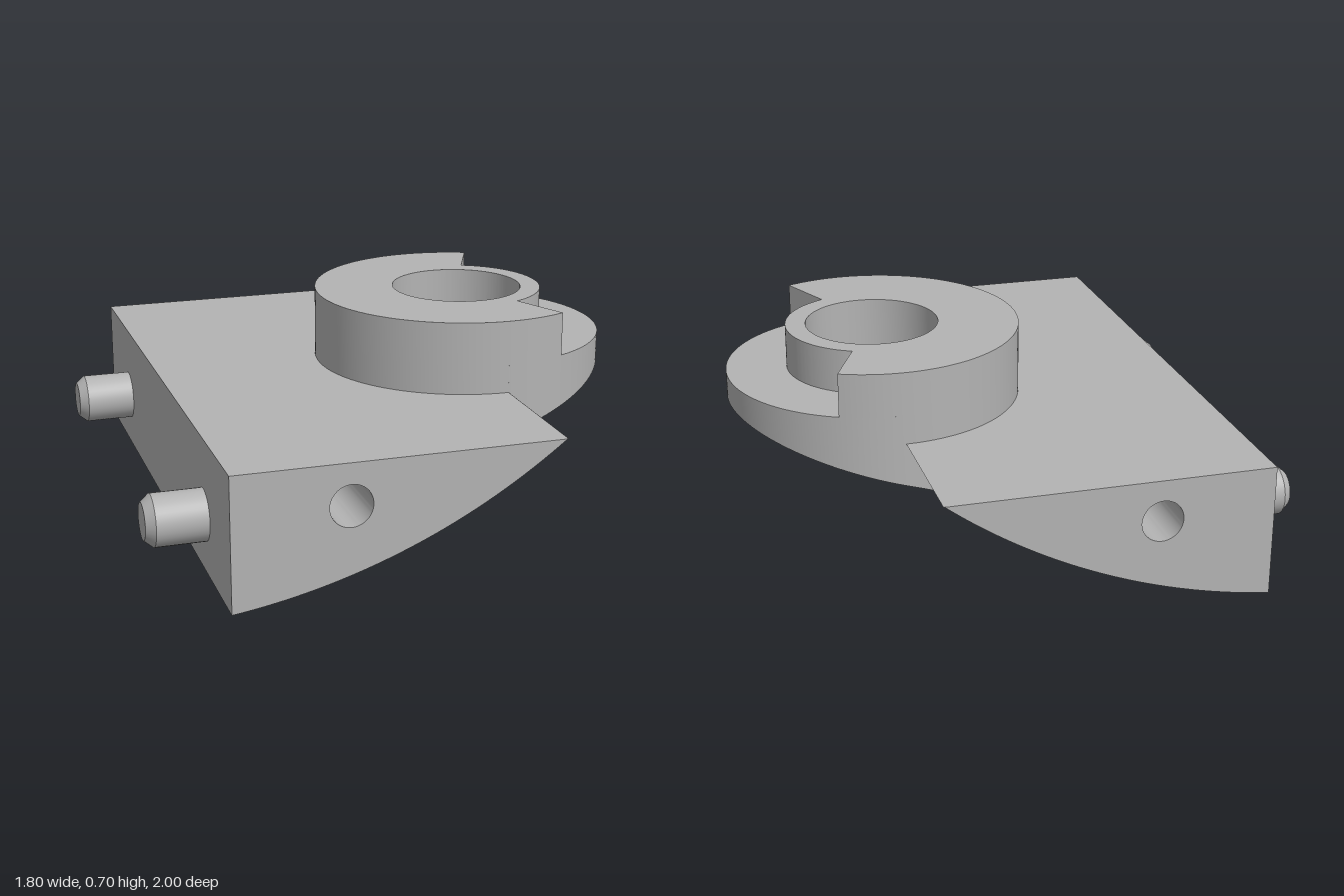
import * as THREE from 'three';
import { toCreasedNormals } from 'three/addons/utils/BufferGeometryUtils.js';

const AXIS_X = 0.39; // centre of the round boss
const TOP = 0.45; // top of the wedge block
const underside = (x) => 0.082 + 0.307 * (x + 0.32); // sloping flat below the boss

export function createModel() {
  const group = new THREE.Group();
  const grey = new THREE.MeshStandardMaterial({ color: 0xb3b3b3 });
  grey.name = 'plain grey';

  const add = (name, geometry) => {
    const mesh = new THREE.Mesh(toCreasedNormals(geometry, 0.4), grey);
    mesh.name = name;
    group.add(mesh);
    return mesh;
  };

  // Side profile extruded across z
  const across = (shape, width) => {
    const g = new THREE.ExtrudeGeometry(shape, { depth: width, bevelEnabled: false, curveSegments: 32 });
    return g.translate(0, 0, -width / 2);
  };

  // Ring sector around the boss axis; without y0 its bottom follows the underside
  const sector = (r0, r1, a0, a1, y0, y1) => {
    const s = new THREE.Shape();
    s.absarc(0, 0, r1, a0, a1, false);
    if (r0 > 0) s.absarc(0, 0, r0, a1, a0, true);
    s.closePath();
    const g = new THREE.ExtrudeGeometry(s, { depth: 1, bevelEnabled: false, curveSegments: 48 });
    g.rotateX(-Math.PI / 2).translate(AXIS_X, 0, 0);
    const p = g.attributes.position;
    for (let i = 0; i < p.count; i++) {
      const bottom = y0 === null ? underside(p.getX(i)) : y0;
      p.setY(i, p.getY(i) > 0.5 ? y1 : bottom);
    }
    return g;
  };

  // Wedge block with curved underside and a cross hole
  const cx = -0.966, cy = 2.185;
  const block = new THREE.Shape();
  block.moveTo(-0.7, TOP);
  block.lineTo(-0.7, 0);
  block.absarc(cx, cy, 2.2, Math.atan2(-cy, -0.7 - cx), Math.atan2(TOP - cy, AXIS_X - cx), false);
  block.lineTo(AXIS_X, TOP);
  block.closePath();
  const hole = new THREE.Path();
  hole.absarc(-0.32, 0.31, 0.07, 0, Math.PI * 2, true);
  block.holes.push(hole);
  add('wedgeBlock', across(block, 2));

  // Flat-bottomed rib blending the boss into the block
  const rib = new THREE.Shape();
  rib.moveTo(-0.32, underside(-0.32));
  rib.lineTo(AXIS_X, underside(AXIS_X));
  rib.lineTo(AXIS_X, TOP);
  rib.lineTo(-0.32, 0.1);
  rib.closePath();
  add('underRib', across(rib, 1.02));

  // Boss: overhanging half, bore floor, raised collar and stepped inner rim
  const half = Math.PI / 2;
  const notch = THREE.MathUtils.degToRad(65.5);
  add('bossOverhang', sector(0.23, 0.51, -half, half, null, 0.55));
  add('boreFloor', sector(0, 0.23, -half, half, null, TOP));
  add('raisedCollar', sector(0.23, 0.51, notch, Math.PI * 2 - notch, TOP, 0.7));
  add('innerRim', sector(0.23, 0.3, -notch, notch, 0.5, 0.7));

  // Chamfered locating pins
  const profile = [[0, 0], [0.062, 0], [0.087, 0.03], [0.087, 0.22]].map(([r, y]) => new THREE.Vector2(r, y));
  for (const side of [-1, 1]) {
    const pin = add(side > 0 ? 'frontPin' : 'backPin', new THREE.LatheGeometry(profile, 32).rotateZ(-Math.PI / 2));
    pin.position.set(-0.9, 0.192, side * 0.643);
  }
  return group;
}
